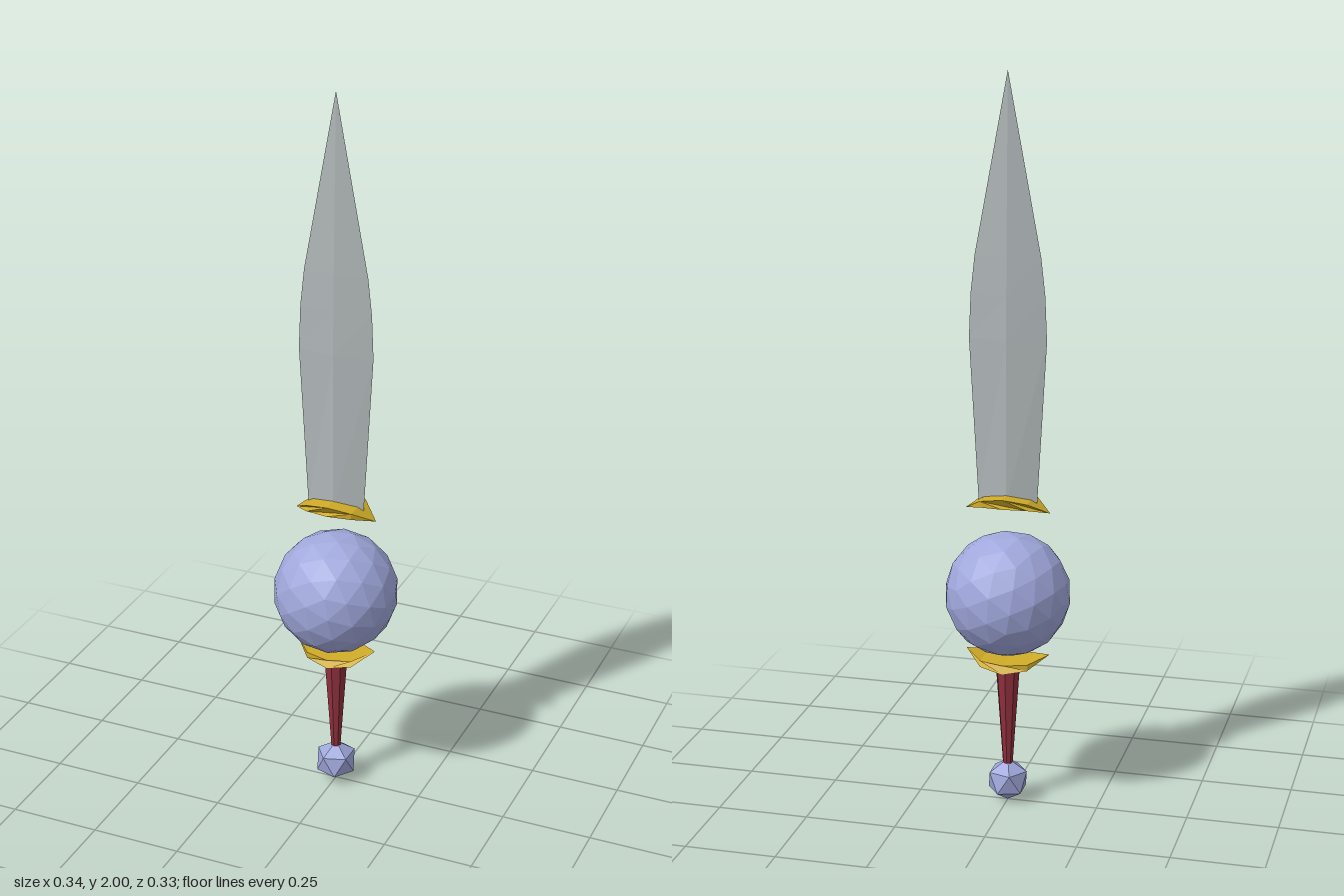
import * as THREE from 'three';

const flat = (name, color) => {
  const m = new THREE.MeshStandardMaterial({ color, flatShading: true });
  m.name = name;
  return m;
};

// Diamond cross-sections [y, halfWidth, halfThickness] joined into a faceted blade
function bladeGeometry(sections) {
  const positions = [];
  const ring = ([y, w, d]) => [[w, y, 0], [0, y, -d], [-w, y, 0], [0, y, d]];
  for (let i = 0; i < sections.length - 1; i++) {
    const a = ring(sections[i]), b = ring(sections[i + 1]);
    for (let j = 0; j < 4; j++) {
      const k = (j + 1) % 4;
      positions.push(...a[j], ...a[k], ...b[k], ...a[j], ...b[k], ...b[j]);
    }
  }
  const [p, q, r, s] = ring(sections[0]);
  positions.push(...p, ...r, ...q, ...p, ...s, ...r);
  const g = new THREE.BufferGeometry();
  g.setAttribute('position', new THREE.Float32BufferAttribute(positions, 3));
  g.computeVertexNormals();
  return g;
}

// Crescent extruded along z, narrowing in depth towards both tips
function guardGeometry() {
  const outline = [[-0.115, -0.022], [-0.065, -0.005], [0, -0.002], [0.065, -0.005],
    [0.115, -0.022], [0.065, 0.012], [0, 0.024], [-0.065, 0.012]];
  const shape = new THREE.Shape(outline.map(([x, y]) => new THREE.Vector2(x, y)));
  const g = new THREE.ExtrudeGeometry(shape, { depth: 2, bevelEnabled: false });
  g.translate(0, 0, -1);
  const pos = g.attributes.position;
  for (let i = 0; i < pos.count; i++) {
    const x = Math.abs(pos.getX(i));
    const half = x < 0.01 ? 0.063 : x < 0.1 ? 0.049 : 0.001;
    pos.setZ(i, pos.getZ(i) * half);
  }
  g.computeVertexNormals();
  return g;
}

export function createModel() {
  const model = new THREE.Group();
  model.name = 'orbSword';
  const steel = flat('steel', 0xb0b7b8);
  const gold = flat('gold', 0xd0ac28);
  const crystal = flat('crystal', 0xa0a8dc);
  const leather = flat('redLeather', 0x90303e);

  const add = (name, geometry, material, y) => {
    const mesh = new THREE.Mesh(geometry, material);
    mesh.name = name;
    mesh.position.y = y;
    model.add(mesh);
    return mesh;
  };

  // Leaf-shaped blade
  add('blade', bladeGeometry([
    [0.855, 0.08, 0.02], [1.3, 0.105, 0.019], [1.42, 0.1, 0.017],
    [1.52, 0.089, 0.015], [2, 0, 0],
  ]), steel, 0);

  // Two mirrored guards around the floating orb
  const guard = guardGeometry();
  add('upperGuard', guard, gold, 0.857);
  add('lowerGuard', guard, gold, 0.413).rotation.z = Math.PI;
  const orb = add('orb', new THREE.IcosahedronGeometry(0.17, 2), crystal, 0.6);
  orb.rotation.set(0.2, 0.3, 0.1);

  // Tapered grip and pommel
  add('grip', new THREE.CylinderGeometry(0.034, 0.013, 0.3, 8), leather, 0.25);
  const pommel = add('pommel', new THREE.IcosahedronGeometry(0.06, 0), crystal, 0.06);
  pommel.rotation.z = Math.atan(2 / (1 + Math.sqrt(5)));

  return model;
}
